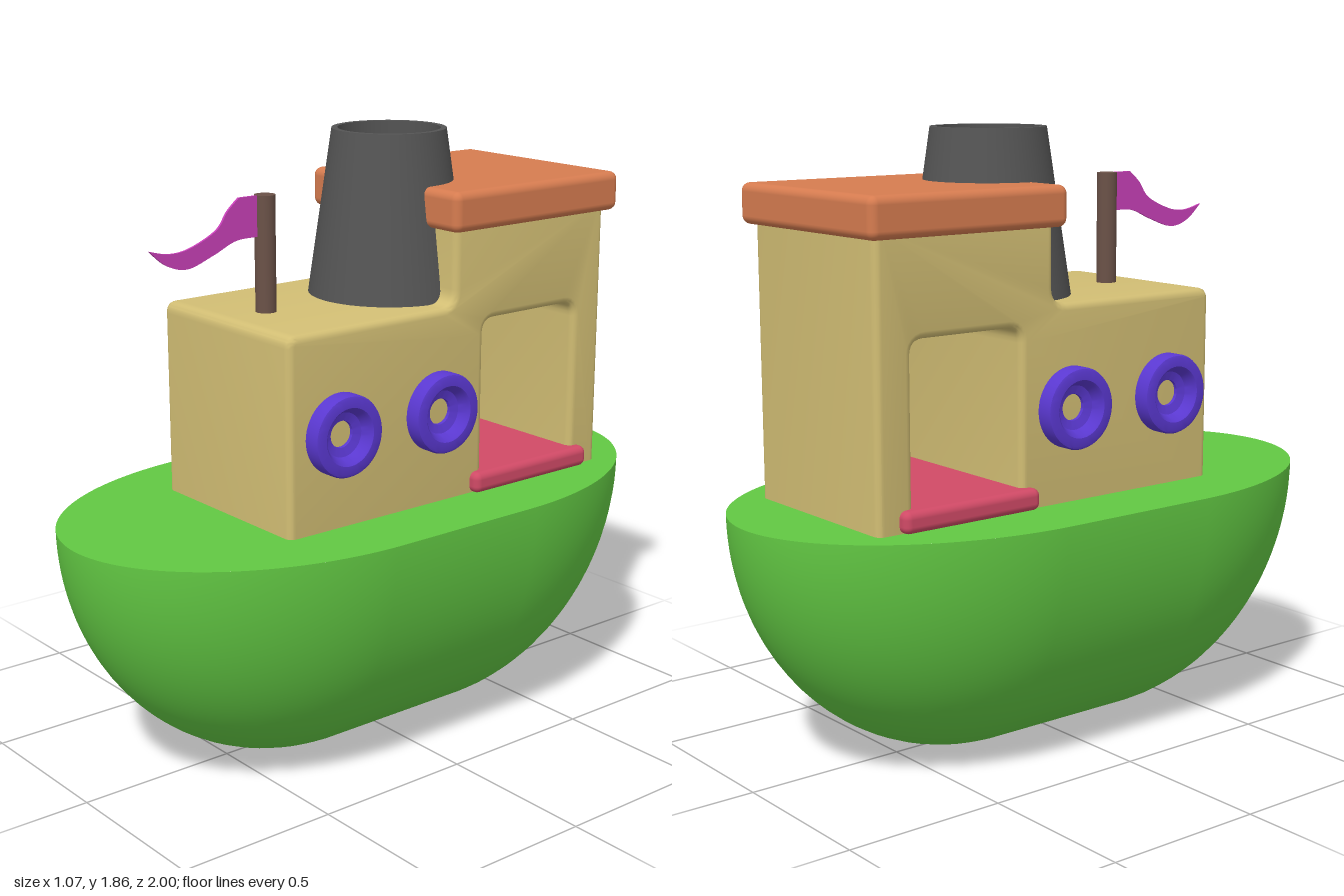
import * as THREE from 'three';
import { toCreasedNormals } from 'three/addons/utils/BufferGeometryUtils.js';
import { RoundedBoxGeometry } from 'three/addons/geometries/RoundedBoxGeometry.js';

const DECK = 0.775;

function add(parent, name, geometry, color, side = THREE.FrontSide) {
  const mesh = new THREE.Mesh(geometry, new THREE.MeshStandardMaterial({ color, side }));
  mesh.name = name;
  parent.add(mesh);
  return mesh;
}

// Closed outline whose corners [x, y, radius] are rounded
function roundedOutline(corners) {
  const shape = new THREE.Shape();
  const n = corners.length;
  corners.forEach(([x, y, r], i) => {
    const p = new THREE.Vector2(x, y);
    const toward = ([qx, qy]) =>
      new THREE.Vector2(qx, qy).sub(p).normalize().multiplyScalar(r).add(p);
    const a = toward(corners[(i + n - 1) % n]);
    const b = toward(corners[(i + 1) % n]);
    if (i === 0) shape.moveTo(a.x, a.y);
    else shape.lineTo(a.x, a.y);
    if (r > 0) shape.quadraticCurveTo(x, y, b.x, b.y);
  });
  return shape;
}

// Half ellipsoid, parted amidships to make a straight middle
function hullGeometry() {
  const g = new THREE.SphereGeometry(1, 40, 49, 0, Math.PI);
  g.rotateX(Math.PI / 2);
  g.scale(0.535, DECK, 0.75);
  const p = g.attributes.position;
  for (let i = 0; i < p.count; i++) p.setZ(i, p.getZ(i) + 0.25 * Math.sign(p.getZ(i)));
  g.translate(0, DECK, 0);
  return g;
}

function deckGeometry() {
  const s = new THREE.Shape();
  s.absellipse(0, 0.25, 0.535, 0.75, 0, Math.PI);
  s.absellipse(0, -0.25, 0.535, 0.75, Math.PI, 2 * Math.PI);
  const g = new THREE.ShapeGeometry(s, 48);
  g.rotateX(-Math.PI / 2);
  g.translate(0, DECK, 0);
  return g;
}

// Side profile (running from bow to stern) with the doorway cut up from the floor
function cabinGeometry() {
  const bevel = 0.022, half = 0.307, floor = 0.73;
  const shape = roundedOutline([
    [-0.48, floor, 0], [0.26, floor, 0],
    [0.26, 1.31, 0.045], [0.64, 1.31, 0.045],
    [0.64, floor, 0], [0.76, floor, 0],
    [0.76, 1.64, 0], [0.14, 1.64, 0],
    [0.14, 1.367, 0.05], [-0.48, 1.367, 0.035],
  ]);
  const g = new THREE.ExtrudeGeometry(shape, {
    depth: 2 * (half - bevel), bevelEnabled: true, bevelThickness: bevel,
    bevelSize: bevel, bevelOffset: -bevel, bevelSegments: 4, curveSegments: 6,
  });
  g.translate(0, 0, bevel - half);
  g.rotateY(Math.PI / 2);
  return toCreasedNormals(g, 0.6);
}

function latheGeometry(points, segments = 48) {
  return toCreasedNormals(
    new THREE.LatheGeometry(points.map(([r, y]) => new THREE.Vector2(r, y)), segments), 0.5);
}

// Thin wavy pennant in the plane of the keel
function flagGeometry() {
  const s = new THREE.Shape();
  s.moveTo(-0.34, 1.59);
  s.lineTo(-0.34, 1.71);
  s.lineTo(-0.42, 1.71);
  s.splineThru([[-0.46, 1.675], [-0.5, 1.625], [-0.59, 1.585], [-0.66, 1.577], [-0.727, 1.592]]
    .map(([x, y]) => new THREE.Vector2(x, y)));
  s.splineThru([[-0.67, 1.545], [-0.6, 1.527], [-0.51, 1.556], [-0.43, 1.588], [-0.34, 1.59]]
    .map(([x, y]) => new THREE.Vector2(x, y)));
  const g = new THREE.ExtrudeGeometry(s, { depth: 0.008, bevelEnabled: false, curveSegments: 6 });
  g.translate(0, 0, -0.004);
  g.rotateY(Math.PI / 2);
  return g;
}

export function createModel() {
  const boat = new THREE.Group();
  boat.name = 'tugboat';

  add(boat, 'hull', hullGeometry(), 0x62c843);
  add(boat, 'deck', deckGeometry(), 0x62c843);
  add(boat, 'cabin', cabinGeometry(), 0xd2be74);

  // Roof and doorway floor
  add(boat, 'roof', new RoundedBoxGeometry(0.68, 0.12, 0.68, 4, 0.025), 0xd67c50)
    .position.set(0, 1.65, -0.45);
  add(boat, 'doorStep', new RoundedBoxGeometry(0.68, 0.065, 0.48, 4, 0.022), 0xd04a66)
    .position.set(0, 0.808, -0.45);

  // Tapered hollow funnel
  const funnel = latheGeometry([
    [0, 1.36], [0.247, 1.36], [0.173, 1.865], [0.155, 1.865], [0.175, 1.45], [0, 1.45],
  ], 64);
  add(boat, 'funnel', funnel, 0x555555).position.z = -0.14;

  // Mast and flag
  add(boat, 'mast', new THREE.CylinderGeometry(0.031, 0.031, 0.36, 24), 0x6b5248)
    .position.set(0, 1.53, 0.327);
  add(boat, 'flag', flagGeometry(), 0xc840b8, THREE.DoubleSide);

  // Dished porthole rings, two on each side
  const ring = latheGeometry([
    [0.122, -0.01], [0.122, 0.042], [0.118, 0.05], [0.11, 0.053], [0.086, 0.053],
    [0.08, 0.047], [0.066, 0.02], [0.04, 0.012], [0.038, -0.01],
  ]);
  for (const side of [1, -1]) {
    for (const z of [0.3, -0.075]) {
      const porthole = add(boat, side > 0 ? 'leftPorthole' : 'rightPorthole', ring, 0x5a38d0);
      porthole.rotation.z = -side * Math.PI / 2;
      porthole.position.set(side * 0.305, 1.06, z);
    }
  }
  return boat;
}
